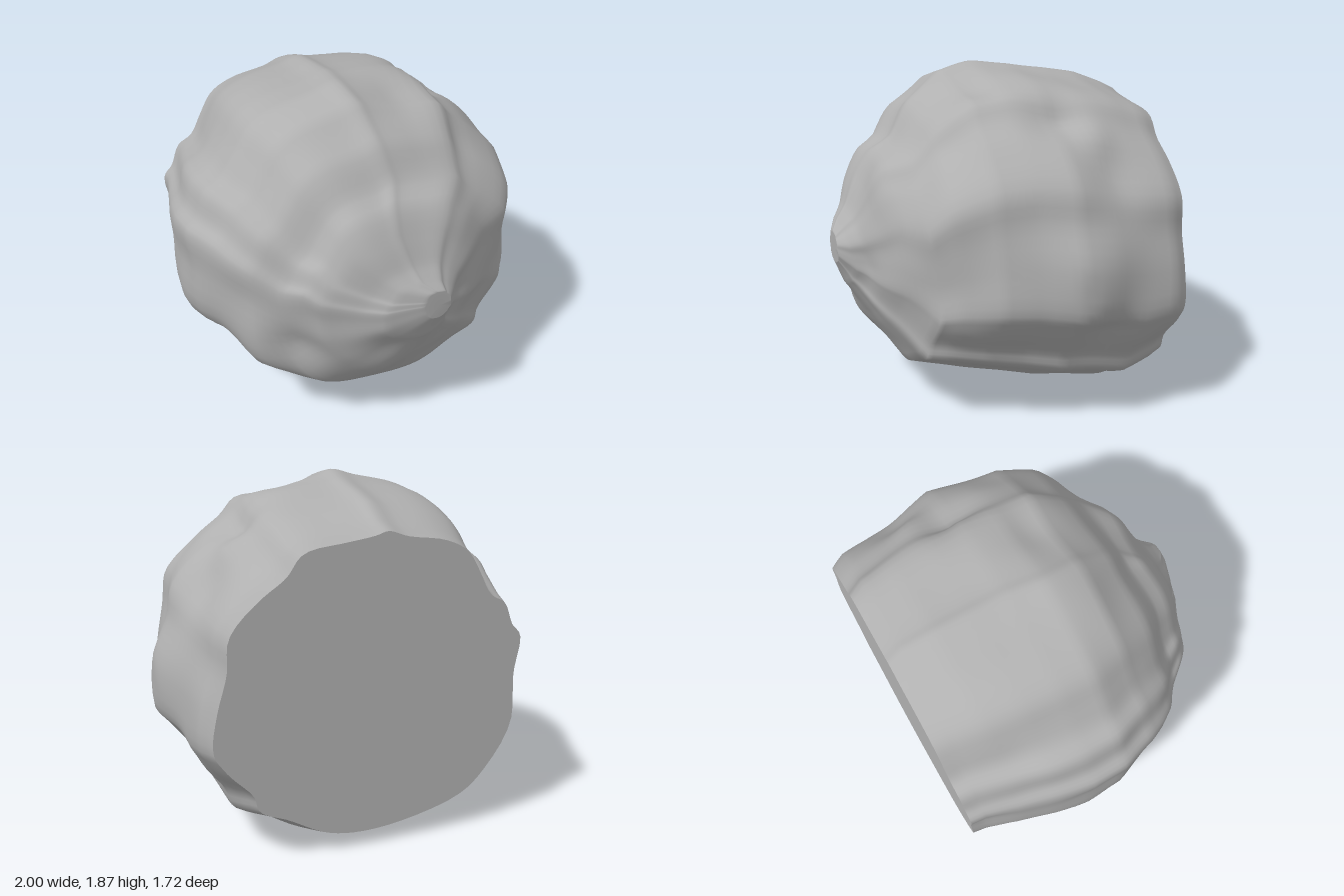
import * as THREE from 'three';

const RINGS = 64, SIDES = 112, BACK = -0.86;

// Extents of the boulder along its depth: z, min x, max x, min y, max y
const extents = [
  [-0.86, -0.83, 0.87, 0.09, 1.68], [-0.78, -0.84, 0.92, 0.07, 1.72],
  [-0.6, -0.9, 0.95, 0.0, 1.79], [-0.4, -0.95, 0.98, 0.04, 1.83],
  [-0.2, -0.99, 1.0, 0.07, 1.86], [0.0, -1.0, 0.94, 0.11, 1.87],
  [0.2, -0.93, 0.9, 0.16, 1.82], [0.3, -0.88, 0.85, 0.185, 1.74],
  [0.4, -0.82, 0.8, 0.21, 1.66], [0.5, -0.7, 0.72, 0.24, 1.5],
  [0.6, -0.6, 0.5, 0.42, 1.41], [0.66, -0.54, 0.4, 0.51, 1.28],
  [0.75, -0.35, 0.26, 0.62, 1.13], [0.81, -0.24, 0.19, 0.7, 1.06],
  [0.86, -0.03, 0.12, 0.84, 1.0],
];

// Knobbly outline seen from the front, anticlockwise
const outline = new THREE.CatmullRomCurve3([
  [0.97, 0.9], [0.91, 1.13], [0.89, 1.33], [0.71, 1.53], [0.55, 1.65], [0.45, 1.77],
  [0.2, 1.82], [0, 1.85], [-0.08, 1.87], [-0.2, 1.83], [-0.45, 1.8], [-0.6, 1.72],
  [-0.7, 1.57], [-0.78, 1.43], [-0.87, 1.37], [-0.93, 1.23], [-1, 1.15], [-0.97, 0.9],
  [-0.95, 0.57], [-0.77, 0.27], [-0.6, 0.14], [-0.2, 0.03], [0.12, 0.01], [0.32, 0.05],
  [0.55, 0.17], [0.73, 0.25], [0.77, 0.36], [0.93, 0.54], [1, 0.65],
].map(([x, y]) => new THREE.Vector3(x, (y - 0.935) / 0.935, 0)), true);

// Knobs (positive) and hollows (negative): x, y, z, radius, height
const lumps = [
  [0.25, 1.25, 0.65, 0.2, 0.05], [-0.25, 1.3, 0.65, 0.25, 0.03], [0.65, 1.15, 0.4, 0.2, 0.05],
  [0.2, 0.82, 0.75, 0.13, -0.05], [0.65, 0.75, 0.4, 0.2, -0.07], [0.7, 0.58, 0.35, 0.16, 0.03],
  [-0.62, 0.65, 0.5, 0.13, -0.06], [-0.2, 0.68, 0.75, 0.14, -0.04], [-0.2, 0.48, 0.62, 0.18, 0.05],
  [0.2, 0.52, 0.6, 0.15, 0.03], [-0.75, 0.5, 0.35, 0.14, 0.04], [-0.85, 0.38, 0.05, 0.17, -0.08],
  [-0.8, 0.35, -0.35, 0.16, -0.05], [-0.9, 0.72, -0.3, 0.25, 0.04], [-0.85, 1.4, -0.35, 0.2, 0.03],
  [0.5, 1.65, -0.25, 0.16, -0.06], [0.63, 1.6, -0.4, 0.13, 0.04], [0.82, 1.35, -0.45, 0.18, -0.05],
  [0.92, 1.0, -0.3, 0.2, 0.04], [0.9, 0.6, -0.45, 0.18, -0.05], [0.25, 1.75, 0.1, 0.18, -0.04],
  [-0.2, 1.75, 0.15, 0.18, 0.02], [-0.55, 1.65, 0.1, 0.2, -0.03],
];

function extentsAt(z) {
  let i = 0;
  while (i < extents.length - 2 && extents[i + 1][0] < z) i++;
  const a = extents[i], b = extents[i + 1], t = (z - a[0]) / (b[0] - a[0]);
  return a.map((v, k) => THREE.MathUtils.lerp(v, b[k], t));
}

function displace(p) {
  const out = p.clone().sub(new THREE.Vector3(0, 0.95, -0.2)).normalize();
  let d = 0.009 * Math.sin(9 * p.x + 5 * p.z) * Math.sin(10 * p.y + 4 * p.x - 6 * p.z);
  for (const [x, y, z, r, h] of lumps) {
    const q = (p.x - x) ** 2 + (p.y - y) ** 2 + (p.z - z) ** 2;
    d += h * Math.exp(-q / (r * r));
  }
  // Keep the sloping underside smooth and the back rim in its plane
  d *= THREE.MathUtils.smoothstep(p.y, 0.12, 0.38);
  if (p.z < BACK + 0.001) out.z = 0;
  p.addScaledVector(out, d);
  p.x = THREE.MathUtils.clamp(p.x, -1, 1);
  p.z = THREE.MathUtils.clamp(p.z, BACK, 0.86);
  return p;
}

function buildGeometry(points, index) {
  const g = new THREE.BufferGeometry().setFromPoints(points);
  g.setIndex(index);
  g.computeVertexNormals();
  return g;
}

export function createModel() {
  const group = new THREE.Group();
  group.name = 'boulder';
  const stone = new THREE.MeshStandardMaterial({ color: 0xb0b0b0 });
  stone.name = 'grey stone';

  // Lumpy shell from cross-sections, closer together towards the nose
  const section = Array.from({ length: SIDES }, (_, j) => outline.getPoint(j / SIDES));
  const points = [], index = [];
  for (let i = 0; i <= RINGS; i++) {
    const z = BACK + 1.72 * Math.sin((i / RINGS) * Math.PI / 2);
    const [, x0, x1, y0, y1] = extentsAt(z);
    for (const s of section) {
      const p = new THREE.Vector3((x0 + x1) / 2 + s.x * (x1 - x0) / 2, (y0 + y1) / 2 + s.y * (y1 - y0) / 2, z);
      // Flat underside, rising to the front
      p.y = Math.max(p.y, Math.min(0.13 + 0.21 * z, y0 + 0.02));
      points.push(displace(p));
    }
  }
  for (let i = 0; i < RINGS; i++) {
    for (let j = 0; j < SIDES; j++) {
      const k = (j + 1) % SIDES, a = i * SIDES, b = a + SIDES;
      index.push(a + j, a + k, b + k, a + j, b + k, b + j);
    }
  }
  const tip = points.length;
  points.push(new THREE.Vector3(0.05, 0.92, 0.86));
  for (let j = 0; j < SIDES; j++) index.push(RINGS * SIDES + j, RINGS * SIDES + (j + 1) % SIDES, tip);
  const shell = new THREE.Mesh(buildGeometry(points, index), stone);
  shell.name = 'lumpyShell';

  // Flat cut face at the back
  const rim = points.slice(0, SIDES), fan = [];
  for (let j = 0; j < SIDES; j++) fan.push(SIDES, (j + 1) % SIDES, j);
  const cut = new THREE.Mesh(buildGeometry([...rim, new THREE.Vector3(0, 0.88, BACK)], fan), stone);
  cut.name = 'flatBack';

  group.add(shell, cut);
  // Rest on the ground
  group.position.y = -new THREE.Box3().setFromObject(group).min.y;
  return group;
}
